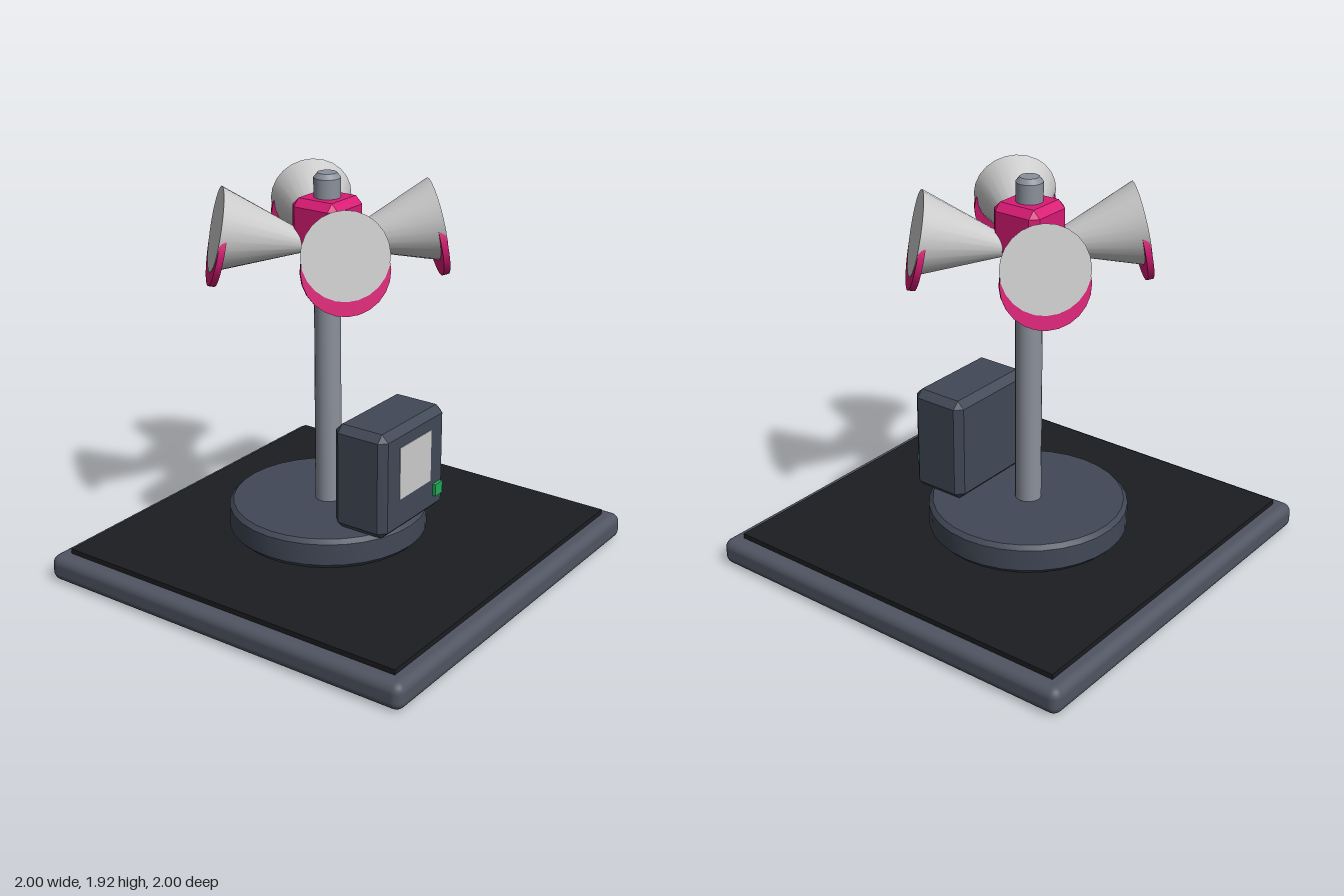
import * as THREE from 'three';
import { toCreasedNormals } from 'three/addons/utils/BufferGeometryUtils.js';
import { RoundedBoxGeometry } from 'three/addons/geometries/RoundedBoxGeometry.js';
import { ConvexGeometry } from 'three/addons/geometries/ConvexGeometry.js';

const mat = (color) => new THREE.MeshStandardMaterial({ color });
const MATS = {
  frame: mat(0x505562), slate: mat(0x414856), black: mat(0x1c1d21), pole: mat(0x8b919c),
  horn: mat(0xcccccc), pink: mat(0xd81b74), green: mat(0x22a957),
};
const AXIS_Z = -0.09; // the pole stands a little behind the middle

function add(parent, name, geometry, material, x = 0, y = 0, z = 0) {
  const mesh = new THREE.Mesh(geometry, material);
  mesh.name = name;
  mesh.position.set(x, y, z);
  parent.add(mesh);
  return mesh;
}

// Box with every edge cut by a flat chamfer c
function chamferBox(w, h, d, c) {
  const points = [];
  for (const sx of [-1, 1]) for (const sy of [-1, 1]) for (const sz of [-1, 1]) {
    for (let full = 0; full < 3; full++) {
      const p = [w, h, d].map((s, i) => s / 2 - (i === full ? 0 : c));
      points.push(new THREE.Vector3(p[0] * sx, p[1] * sy, p[2] * sz));
    }
  }
  return new ConvexGeometry(points);
}

// Turned part from [radius, height] pairs
function turned(profile, sides) {
  const pts = profile.map(([r, y]) => new THREE.Vector2(r, y));
  return toCreasedNormals(new THREE.LatheGeometry(pts, sides), 0.6);
}

export function createModel() {
  const model = new THREE.Group();
  model.name = 'hornTower';

  // Ground slab with its dark inlay
  add(model, 'baseSlab', new RoundedBoxGeometry(2, 0.13, 2, 3, 0.045), MATS.frame, 0, 0.065, 0);
  add(model, 'baseInlay', new THREE.BoxGeometry(1.85, 0.035, 1.85), MATS.black, 0, 0.1375, 0);

  // Round plinth and pole
  add(model, 'plinth', turned([[0, 0.15], [0.45, 0.15], [0.48, 0.18], [0.48, 0.285], [0.46, 0.305], [0, 0.305]], 32),
    MATS.slate, 0, 0, AXIS_Z);
  add(model, 'pole', turned([[0, 0.3], [0.063, 0.3], [0.063, 1.895], [0.045, 1.918], [0, 1.918]], 20),
    MATS.pole, 0, 0, AXIS_Z);

  // Control cabinet with screen and button
  const cabinet = new THREE.Group();
  cabinet.name = 'controlCabinet';
  model.add(cabinet);
  add(cabinet, 'cabinetBody', chamferBox(0.52, 0.52, 0.29, 0.035), MATS.slate, 0, 0.565, 0.265);
  add(cabinet, 'screen', new THREE.BoxGeometry(0.26, 0.26, 0.02), MATS.horn, 0, 0.605, 0.403);
  add(cabinet, 'button', new THREE.BoxGeometry(0.06, 0.06, 0.03), MATS.green, 0.183, 0.418, 0.412);

  // Hub that carries the horns
  add(model, 'hub', chamferBox(0.256, 0.256, 0.256, 0.035), MATS.pink, 0, 1.677, AXIS_Z);

  // Four horns on the diagonals, tilted upward, each with a lowered disc behind the mouth
  const length = 0.4;
  const hornGeometry = new THREE.CylinderGeometry(0.197, 0.05, length, 24).rotateX(Math.PI / 2);
  const discGeometry = new THREE.CylinderGeometry(0.197, 0.197, 0.03, 24).rotateX(Math.PI / 2);
  for (let i = 0; i < 4; i++) {
    const angle = Math.PI / 4 + (i * Math.PI) / 2;
    const horn = new THREE.Group();
    horn.name = 'horn' + (i + 1);
    horn.position.set(0.51 * Math.sin(angle), 1.675, AXIS_Z + 0.51 * Math.cos(angle));
    horn.rotation.set(-0.2, angle, 0, 'YXZ');
    add(horn, 'hornCone', hornGeometry, MATS.horn, 0, 0, -length / 2);
    add(horn, 'hornDisc', discGeometry, MATS.pink, 0, -0.065, -0.018);
    model.add(horn);
  }
  return model;
}
